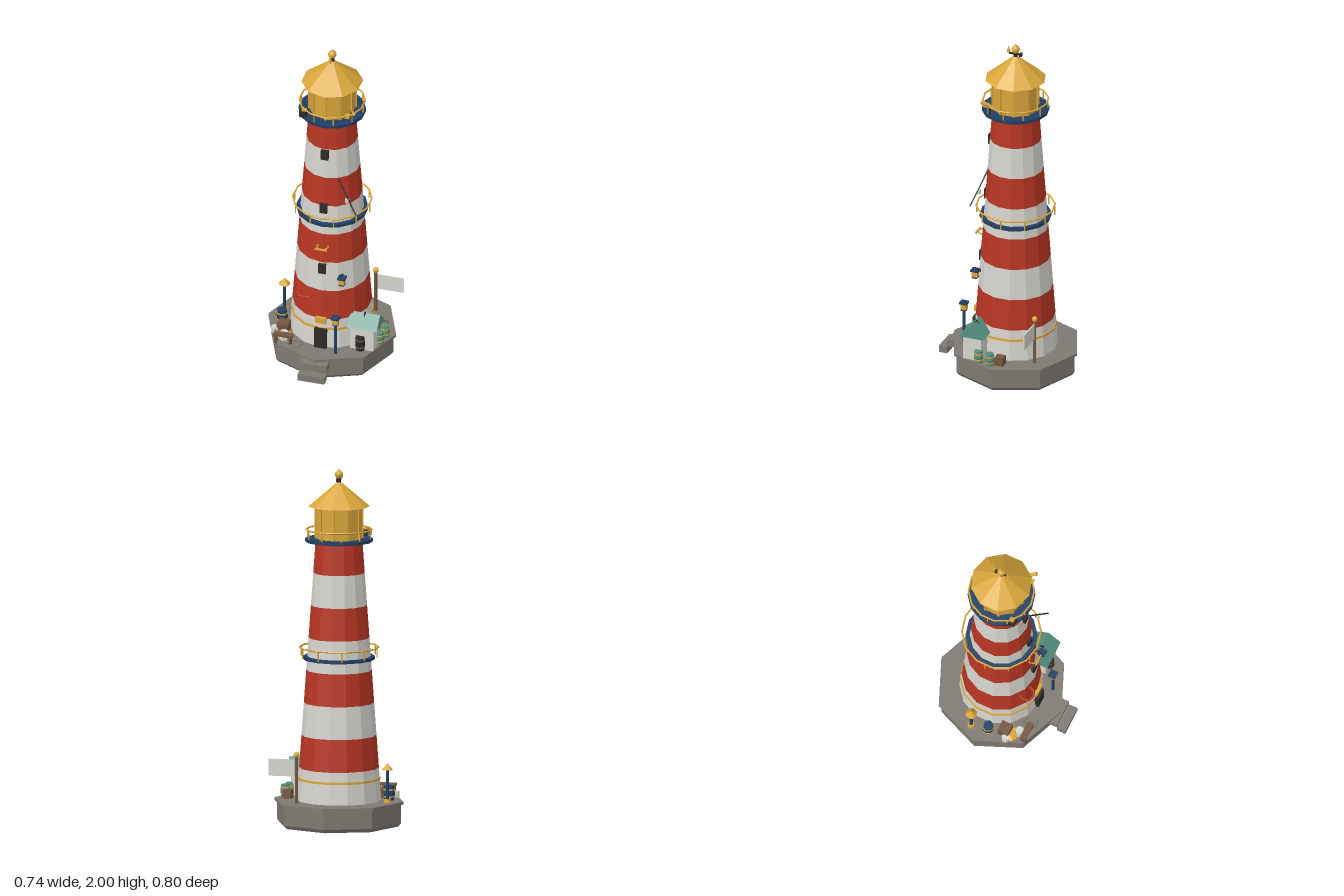
import * as THREE from 'three';

const mat = (name, color, side = THREE.FrontSide) => {
  const m = new THREE.MeshStandardMaterial({ color, side });
  m.name = name;
  return m;
};

export function createModel() {
  const red = mat('red paint', 0xb93623), white = mat('white paint', 0xd6d4ce);
  const navy = mat('navy paint', 0x213f63), gold = mat('gold', 0xd9a63a);
  const stone = mat('stone', 0x7f7972), dark = mat('dark iron', 0x2e2a29);
  const teal = mat('teal paint', 0x559080), wood = mat('brown wood', 0x735743);

  const model = new THREE.Group();
  const CZ = -0.03;              // tower axis
  const G = 0.14;                // top of the stone base
  const radius = y => 0.235 - (y - G) * 0.105 / 1.46;

  const add = (name, geo, material, x, y, z, parent = model) => {
    const flat = geo.index ? geo.toNonIndexed() : geo;
    flat.computeVertexNormals();
    const mesh = new THREE.Mesh(flat, material);
    mesh.name = name;
    mesh.position.set(x, y, z);
    parent.add(mesh);
    return mesh;
  };
  const box = (name, m, w, h, d, x, y, z, p) => add(name, new THREE.BoxGeometry(w, h, d), m, x, y, z, p);
  // Cylinder given by its bottom and top heights
  const cyl = (name, m, r0, r1, y0, y1, x, z, n = 8, p = model) =>
    add(name, new THREE.CylinderGeometry(r1, r0, y1 - y0, n), m, x, (y0 + y1) / 2, z, p);
  // Horizontal ring
  const ring = (name, m, r, tube, x, y, z, n, p = model) => {
    const g = new THREE.TorusGeometry(r, tube, 6, n);
    g.rotateX(Math.PI / 2);
    g.rotateY(Math.PI / 2);
    return add(name, g, m, x, y, z, p);
  };
  // Round bar between two points
  const bar = (name, m, a, b, r0, r1 = r0, n = 6) => {
    const A = new THREE.Vector3(...a), B = new THREE.Vector3(...b), d = B.clone().sub(A);
    const mid = A.clone().add(B).multiplyScalar(0.5);
    const mesh = add(name, new THREE.CylinderGeometry(r1, r0, d.length(), n), m, mid.x, mid.y, mid.z);
    mesh.quaternion.setFromUnitVectors(new THREE.Vector3(0, 1, 0), d.normalize());
    return mesh;
  };

  // Octagonal base with a lip, and two steps
  cyl('baseFoot', stone, 0.34, 0.355, 0, 0.02, 0, CZ);
  cyl('baseBody', stone, 0.355, 0.355, 0.02, 0.125, 0, CZ);
  cyl('baseLip', stone, 0.37, 0.37, 0.125, G, 0, CZ);
  box('upperStep', stone, 0.155, 0.04, 0.07, 0, 0.096, 0.315);
  box('lowerStep', stone, 0.155, 0.04, 0.05, 0, 0.05, 0.375);

  // Striped tower
  for (let i = 0; i < 8; i++) {
    const y0 = G + i * 0.1825, y1 = y0 + 0.1825;
    cyl('towerBand', i % 2 ? red : white, radius(y0), radius(y1), y0, y1, 0, CZ, 14);
  }
  cyl('goldBand', gold, radius(0.255) + 0.005, radius(0.268) + 0.005, 0.255, 0.268, 0, CZ, 14);

  // Galleries: deck, rail and posts
  const gallery = (name, y, rDeck, rRail) => {
    const g = new THREE.Group();
    g.name = name;
    model.add(g);
    cyl('deck', navy, rDeck, rDeck, y - 0.018, y, 0, CZ, 14, g);
    ring('rail', gold, rRail, 0.005, 0, y + 0.05, CZ, 14, g);
    for (let i = 0; i < 10; i++) {
      const a = (i + 0.5) * Math.PI / 5;
      cyl('post', gold, 0.004, 0.004, y - 0.005, y + 0.05,
        Math.sin(a) * (rRail - 0.003), CZ + Math.cos(a) * (rRail - 0.003), 5, g);
    }
  };
  gallery('middleGallery', 0.948, 0.2, 0.22);
  gallery('topGallery', 1.61, 0.188, 0.183);

  // Lantern room, roof and weathervane
  cyl('lanternRoom', gold, 0.13, 0.13, 1.6, 1.8, 0, CZ, 10);
  for (let i = 0; i < 10; i++) {
    const a = i * Math.PI / 5;
    const m = box('mullion', gold, 0.012, 0.18, 0.012, Math.sin(a) * 0.13, 1.7, CZ + Math.cos(a) * 0.13);
    m.rotation.y = a;
  }
  cyl('roof', gold, 0.172, 0.012, 1.79, 1.925, 0, CZ, 10);
  cyl('finialStem', dark, 0.012, 0.012, 1.915, 1.965, 0, CZ);
  add('finialBall', new THREE.SphereGeometry(0.024, 10, 6), gold, 0, 1.968, CZ);
  cyl('finialTip', gold, 0.015, 0.002, 1.982, 2, 0, CZ);
  box('vaneBar', dark, 0.008, 0.01, 0.075, 0, 1.94, -0.025);
  box('vaneTail', dark, 0.016, 0.02, 0.014, 0, 1.94, -0.061);
  cyl('vanePoint', gold, 0.012, 0.001, 1.945, 1.98, 0, 0.013);

  // Gallery searchlight and telescope
  box('searchlight', dark, 0.04, 0.035, 0.035, -0.13, 1.63, 0.1);
  box('searchlightCap', gold, 0.026, 0.008, 0.026, -0.126, 1.65, 0.095);
  cyl('telescopeStand', dark, 0.006, 0.006, 1.61, 1.67, 0.14, 0.07, 6);
  box('telescopeMount', gold, 0.026, 0.02, 0.026, 0.125, 1.655, 0.095);
  bar('telescope', gold, [0.135, 1.652, 0.04], [0.165, 1.688, 0.11], 0.007, 0.011, 8);

  // Windows, door and sign on the front
  for (const y of [0.65, 1.04, 1.385]) box('window', dark, 0.042, 0.06, 0.025, 0, y, radius(y) + CZ);
  box('door', dark, 0.07, 0.125, 0.03, 0, G + 0.0625, radius(0.2) + CZ);
  box('doorSign', gold, 0.06, 0.036, 0.02, 0, 0.318, radius(0.318) + CZ + 0.005);

  // Small hoop bracket
  ring('hoopBracket', gold, 0.033, 0.004, 0, 0.793, 0.162, 8);
  box('hoopFront', gold, 0.07, 0.01, 0.008, 0, 0.793, 0.196);

  // Life ring and coiled rope
  ring('lifeRing', red, 0.042, 0.007, -0.095, 0.465, 0.17, 8);
  ring('ropeCoil', stone, 0.036, 0.006, -0.14, G + 0.005, 0.215, 8);

  // Slanted boom with a small block
  bar('boom', dark, [0.075, 1.225, 0.105], [0.195, 1.04, 0.165], 0.004);
  box('boomBlock', white, 0.022, 0.025, 0.015, 0.135, 1.11, 0.135);

  // Wall lantern and lamp post
  const lamp = (name, x, y, z) => {
    box(name + 'Foot', navy, 0.03, 0.008, 0.03, x, y - 0.004, z);
    box(name + 'Light', gold, 0.032, 0.034, 0.032, x, y + 0.017, z);
    box(name + 'Cap', navy, 0.044, 0.011, 0.044, x, y + 0.039, z);
  };
  lamp('wallLantern', 0.113, 0.565, 0.166);
  box('wallLanternArm', dark, 0.012, 0.012, 0.06, 0.107, 0.605, 0.14);
  cyl('lampPost', navy, 0.009, 0.009, G, 0.34, 0.098, 0.24, 6);
  lamp('postLamp', 0.098, 0.34, 0.24);

  // Hut with a gabled roof
  box('hutWalls', white, 0.135, 0.15, 0.11, 0.228, G + 0.075, 0.11);
  const gable = new THREE.Shape([[-0.074, 0], [0.074, 0], [0, 0.068]].map(p => new THREE.Vector2(...p)));
  const roofGeo = new THREE.ExtrudeGeometry(gable, { depth: 0.172, bevelEnabled: false });
  roofGeo.translate(0, 0, -0.086);
  roofGeo.rotateY(Math.PI / 2);
  add('hutRoof', roofGeo, teal, 0.232, 0.285, 0.109);
  cyl('roofVent', dark, 0.022, 0.003, 0.332, 0.358, 0.231, 0.109, 4);

  // Barrels with hoops
  const barrel = (name, m, hoop, x, z, r, h) => {
    const g = new THREE.Group();
    g.name = name;
    model.add(g);
    const profile = [[0, 0], [0.85, 0], [1, 0.5], [0.85, 1], [0, 1]]
      .map(([a, b]) => new THREE.Vector2(a * r, b * h));
    add('staves', new THREE.LatheGeometry(profile, 8), m, x, G, z, g);
    for (const t of [0.25, 0.75]) cyl('hoop', hoop, r, r, G + h * t - 0.004, G + h * t + 0.004, x, z, 8, g);
  };
  barrel('tealBarrel', teal, gold, 0.315, -0.003, 0.028, 0.072);
  barrel('tealBarrel', teal, gold, 0.303, 0.068, 0.028, 0.072);
  barrel('navyBarrel', navy, gold, -0.275, 0.02, 0.033, 0.08);
  barrel('darkBarrel', dark, wood, 0.218, 0.162, 0.03, 0.092);

  // Crates and bench
  box('rightCrate', wood, 0.05, 0.05, 0.05, 0.287, G + 0.025, -0.055);
  box('leftCrate', wood, 0.065, 0.06, 0.065, -0.241, G + 0.03, 0.108);
  for (const dz of [-0.025, 0.025]) box('crateSlat', wood, 0.069, 0.008, 0.01, -0.241, G + 0.058, 0.108 + dz);
  box('benchSeat', wood, 0.11, 0.014, 0.036, -0.21, 0.197, 0.225);
  for (const dx of [-0.042, 0.042]) box('benchLeg', wood, 0.012, 0.05, 0.03, -0.21 + dx, G + 0.025, 0.225);

  // Gold heap and white bollards
  cyl('goldHeap', gold, 0.054, 0.03, G, G + 0.018, -0.235, 0.14, 6);
  cyl('bollard', white, 0.023, 0.023, G, G + 0.035, -0.284, 0.13, 6);
  cyl('bollard', white, 0.025, 0.025, G, G + 0.05, -0.217, 0.186, 6);

  // Beacon post with a pointed cap
  cyl('beaconBase', gold, 0.022, 0.018, G, G + 0.02, -0.29, -0.078);
  cyl('beaconPost', navy, 0.009, 0.009, G + 0.02, 0.33, -0.29, -0.078);
  cyl('beaconCap', gold, 0.033, 0.002, 0.324, 0.36, -0.29, -0.078);

  // Flagpole and flag
  cyl('flagPole', wood, 0.009, 0.009, G, 0.41, 0.195, -0.225);
  add('flagBall', new THREE.SphereGeometry(0.017, 8, 6), gold, 0.195, 0.412, -0.225);
  box('flag', white, 0.15, 0.095, 0.007, 0.28, 0.338, -0.225);

  return model;
}
